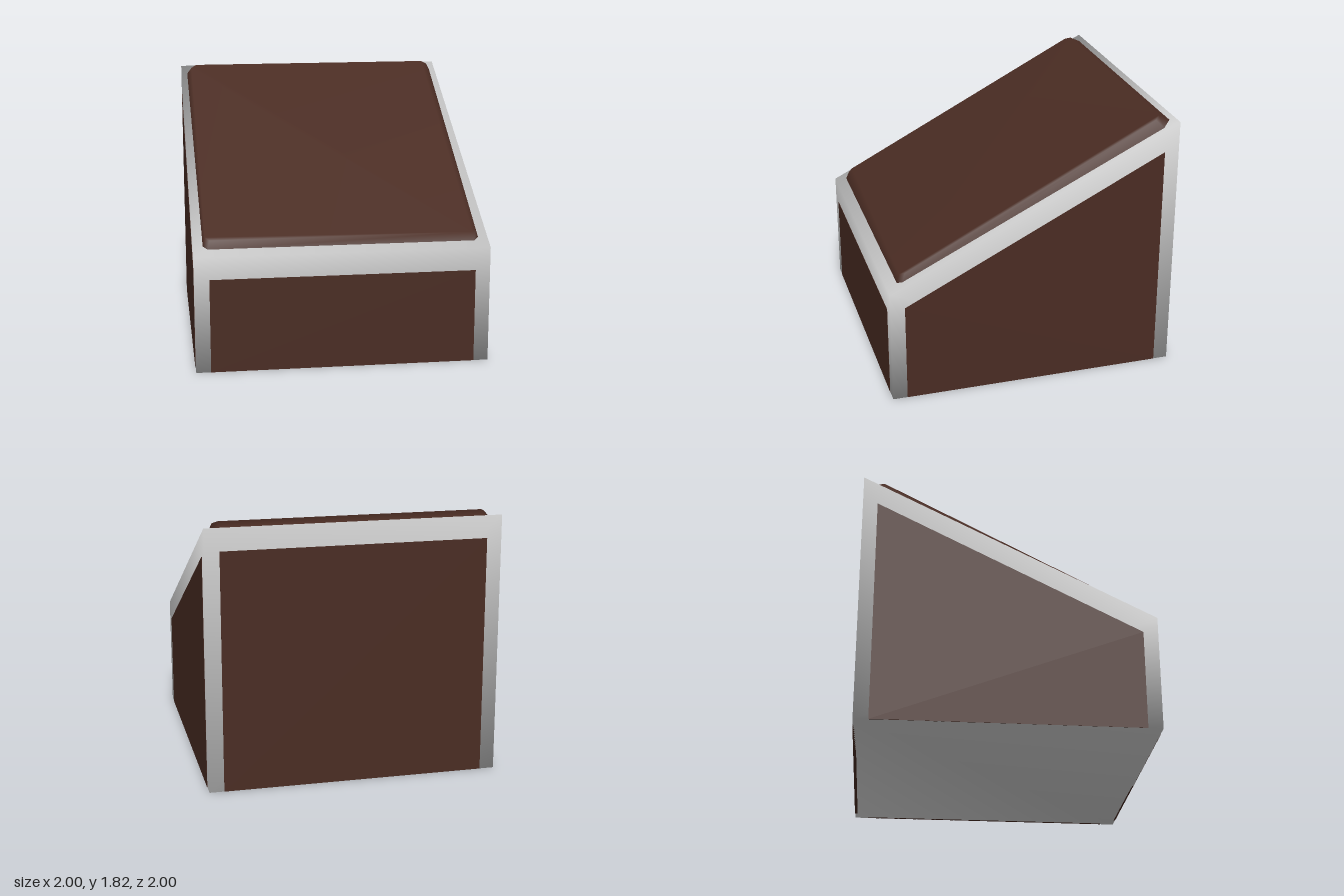
import * as THREE from 'three';
import { mergeVertices } from 'three/addons/utils/BufferGeometryUtils.js';

const grey = new THREE.MeshStandardMaterial({ color: 0xcccccc });
const brown = new THREE.MeshStandardMaterial({ color: 0x4a2c23 });

// Extrudes a [z, y] outline across x, from x0 to x1
function sideProfile(points, x0, x1) {
  const shape = new THREE.Shape(points.map(([z, y]) => new THREE.Vector2(-z, y)));
  const geo = new THREE.ExtrudeGeometry(shape, { depth: x1 - x0, bevelEnabled: false });
  return geo.rotateY(Math.PI / 2).translate(x0, 0, 0);
}

// Shares corner vertices so that normals blend over the edges
function smooth(geo) {
  geo.deleteAttribute('normal');
  geo.deleteAttribute('uv');
  const merged = mergeVertices(geo, 1e-4);
  merged.computeVertexNormals();
  return merged;
}

// Rectangle with cut corners, front edge first, as [x, z] points
function cutOutline(front, back, frontHalf, backHalf, frontCut, backCut) {
  const right = [
    [frontHalf - frontCut, front], [frontHalf, front - frontCut],
    [backHalf, back + backCut], [backHalf - backCut, back],
  ];
  return [...right, ...right.map(([x, z]) => [-x, z]).reverse()];
}

// Thin slab lofted from a lower outline on the slope to a smaller upper one
function coverGeometry() {
  const slopeY = (z) => 0.8 + (1 - z) * 0.5;
  const topY = (z) => 0.89 + (0.91 - z) * (0.93 / 1.8);
  const lower = cutOutline(0.93, -0.965, 0.935, 0.957, 0.03, 0.06);
  const upper = cutOutline(0.91, -0.89, 0.92, 0.925, 0.03, 0.035);
  const n = lower.length;
  const positions = [
    ...lower.map(([x, z]) => [x, slopeY(z), z]),
    ...upper.map(([x, z]) => [x, topY(z), z]),
  ].flat();
  const index = [];
  for (let i = 0; i < n; i++) {
    const j = (i + 1) % n;
    index.push(i, j, n + j, i, n + j, n + i);
    if (i > 0 && i < n - 1) index.push(n, n + i, n + i + 1);
  }
  const geo = new THREE.BufferGeometry();
  geo.setAttribute('position', new THREE.Float32BufferAttribute(positions, 3));
  geo.setIndex(index);
  geo.computeVertexNormals();
  return geo;
}

export function createModel() {
  const model = new THREE.Group();
  model.name = 'slopedCabinet';
  const add = (name, geo, material) => {
    const mesh = new THREE.Mesh(geo, material);
    mesh.name = name;
    model.add(mesh);
  };
  const proud = 1.002, thick = 0.02;

  // Wedge-shaped body
  add('body', smooth(sideProfile([[1, 0], [1, 0.8], [-1, 1.8], [-1, 0]].reverse(), -1, 1)), grey);

  // Sloping cover
  add('slopedCover', coverGeometry(), brown);

  // Side panels
  const side = [[-0.9, 0], [-0.9, 1.595], [0.9, 0.69], [0.9, 0]];
  add('leftPanel', sideProfile(side, proud - thick, proud), brown);
  add('rightPanel', sideProfile(side, -proud, thick - proud), brown);

  // Front and back panels
  for (const [name, height, dir] of [['frontPanel', 0.645, 1], ['backPanel', 1.645, -1]]) {
    const geo = new THREE.BoxGeometry(1.8, height, thick);
    add(name, geo.translate(0, height / 2, dir * (proud - thick / 2)), brown);
  }
  return model;
}
